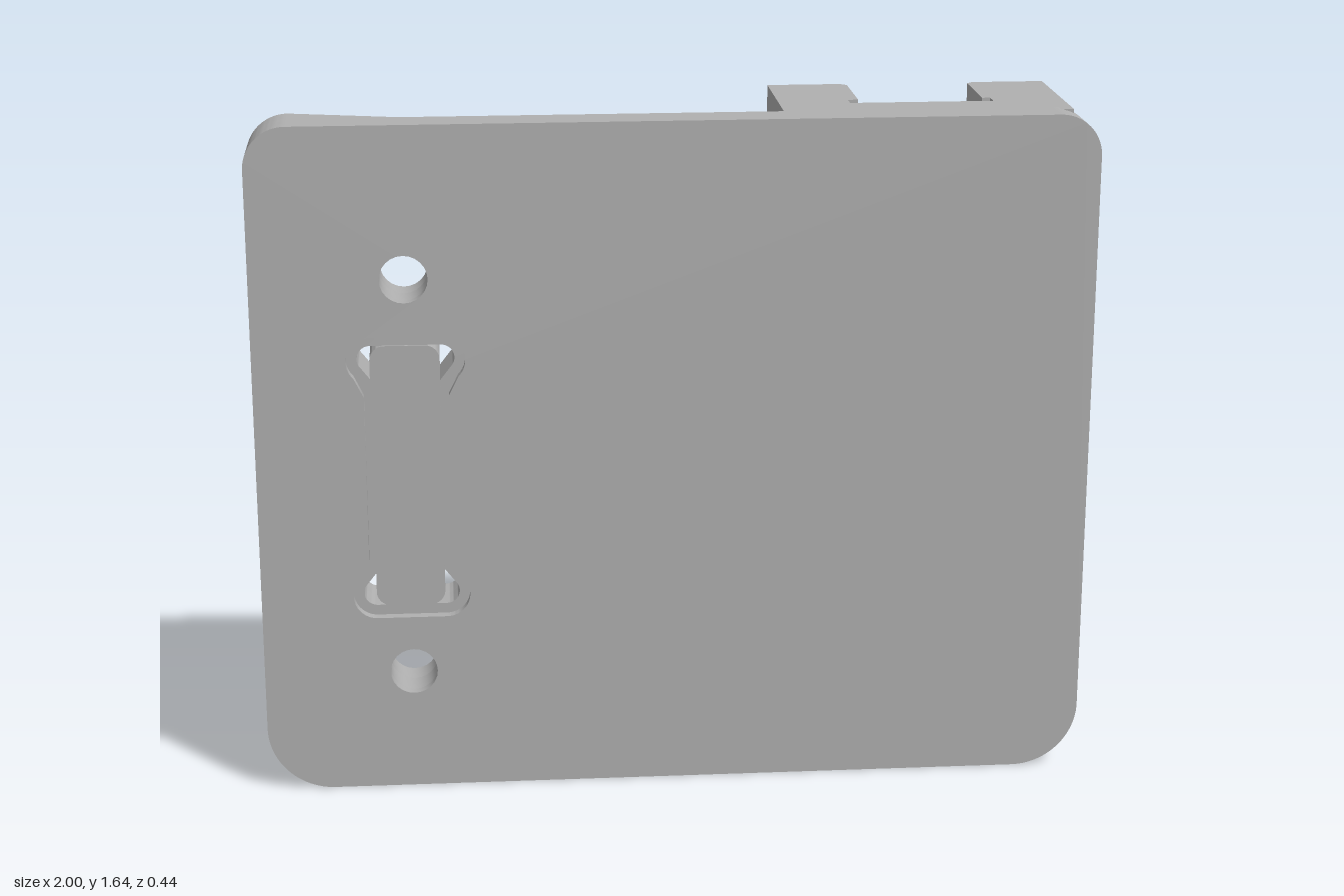
import * as THREE from 'three';
import { toCreasedNormals } from 'three/addons/utils/BufferGeometryUtils.js';

const grey = new THREE.MeshStandardMaterial({ color: 0xb0b0b0 });
grey.name = 'grey plastic';

// Rounded outline with separate radii for the bottom and top corners
function rounded(path, x0, y0, x1, y1, rb, rt = rb, rbr = rb) {
  path.moveTo(x0 + rb, y0);
  path.lineTo(x1 - rbr, y0);
  path.absarc(x1 - rbr, y0 + rbr, rbr, -Math.PI / 2, 0);
  path.absarc(x1 - rt, y1 - rt, rt, 0, Math.PI / 2);
  path.absarc(x0 + rt, y1 - rt, rt, Math.PI / 2, Math.PI);
  path.absarc(x0 + rb, y0 + rb, rb, Math.PI, Math.PI * 1.5);
  return path;
}

const polygon = (pts) => new THREE.Shape(pts.map(([x, y]) => new THREE.Vector2(x, y)));

function extrude(shape, depth) {
  return new THREE.ExtrudeGeometry(shape, { depth, bevelEnabled: false, curveSegments: 12 });
}

function circleHole(x, y, r) {
  const p = new THREE.Path();
  p.absarc(x, y, r, 0, Math.PI * 2);
  return p;
}

// Slot with a wider rounded lobe at each end
const SX = -0.64, SY = 0.79;
function dogbone(grow) {
  const p = new THREE.Path();
  const w = 0.075 + grow, lobe = 0.115 + grow, h = 0.325 + grow, r = 0.032 + grow;
  const cx = lobe - r, cy = h - r;
  p.moveTo(SX + w, SY - cy + r + 0.03);
  p.lineTo(SX + w, SY + cy - r - 0.03);
  p.absarc(SX + cx, SY + cy, r, -Math.PI / 4, Math.PI / 2);
  p.absarc(SX - cx, SY + cy, r, Math.PI / 2, Math.PI * 1.25);
  p.lineTo(SX - w, SY + cy - r - 0.03);
  p.lineTo(SX - w, SY - cy + r + 0.03);
  p.absarc(SX - cx, SY - cy, r, Math.PI * 0.75, Math.PI * 1.5);
  p.absarc(SX + cx, SY - cy, r, -Math.PI / 2, Math.PI / 4);
  p.closePath();
  return p;
}
const slotHoles = (grow) => [dogbone(grow), circleHole(SX, 0.3, 0.057), circleHole(SX, 1.28, 0.057)];

export function createModel() {
  const group = new THREE.Group();
  const add = (name, geometry) => {
    const mesh = new THREE.Mesh(toCreasedNormals(geometry, 0.6), grey);
    mesh.name = name;
    group.add(mesh);
  };
  const layer = (name, shape, z0, z1) => add(name, extrude(shape, z1 - z0).translate(0, 0, z0));

  // Front plate: the slot opens wider at the face
  for (const [name, grow, z0, z1] of [['plateFace', 0.025, 0.195, 0.22], ['plateBody', 0, 0.125, 0.195]]) {
    const s = rounded(new THREE.Shape(), -1, 0, 1, 1.645, 0.16, 0.1);
    s.holes.push(...slotHoles(grow));
    layer(name, s, z0, z1);
  }

  // Raised rim around the hollow back, open towards the clamp
  const rim = new THREE.Shape();
  rim.moveTo(0.945, 1.645);
  rim.absarc(-0.9, 1.545, 0.1, Math.PI / 2, Math.PI);
  rim.absarc(-0.84, 0.16, 0.16, Math.PI, Math.PI * 1.5);
  rim.lineTo(0.1, 0);
  rim.lineTo(0.04, 0.08);
  rim.lineTo(-0.79, 0.08);
  rim.absarc(-0.79, 0.2, 0.12, Math.PI * 1.5, Math.PI, true);
  rim.absarc(-0.81, 1.455, 0.1, Math.PI, Math.PI / 2, true);
  rim.lineTo(0.945, 1.555);
  rim.closePath();
  layer('backRim', rim, 0.06, 0.125);

  // Strap boss standing on the bottom rim
  const boss = new THREE.Shape();
  boss.moveTo(SX - 0.145, 0.08);
  boss.lineTo(SX + 0.145, 0.08);
  boss.absarc(SX, 1.3, 0.145, 0, Math.PI);
  boss.closePath();
  boss.holes.push(...slotHoles(0));
  layer('strapBoss', boss, 0.06, 0.125);

  // Strap bar inside the slot and the web joining it to the side
  layer('strapBar', rounded(new THREE.Shape(), -0.725, 0.465, -0.56, 1.115, 0.035), 0.08, 0.2);
  layer('barWeb', rounded(new THREE.Shape(), -0.58, 0.56, -0.555, 1.02, 0.005), 0.1, 0.17);

  // Upright rail pair with an undercut channel (profile in x, z)
  const rails = polygon([
    [0.26, 0.15], [0.26, -0.22], [0.44, -0.22], [0.455, -0.205], [0.455, -0.01],
    [0.43, -0.01], [0.43, 0.03], [0.775, 0.03], [0.775, -0.01], [0.755, -0.01],
    [0.755, -0.205], [0.77, -0.22], [0.945, -0.22], [0.945, 0.15],
  ]);
  add('uprightRails', extrude(rails, 0.935).rotateX(Math.PI / 2).translate(0, 1.644, 0));

  // Sideways clamp with two jaws and gripping beads (profile in -z, y)
  const jaw = new THREE.Shape();
  jaw.moveTo(-0.15, 0.055);
  jaw.lineTo(0.135, 0.055);
  jaw.lineTo(0.137, 0.2);
  jaw.lineTo(0.125, 0.23);
  jaw.absarc(0.055, 0.23, 0.033, 0, Math.PI);
  jaw.lineTo(-0.01, 0.23);
  jaw.lineTo(-0.01, 0.525);
  jaw.absarc(0.055, 0.525, 0.033, Math.PI, Math.PI * 2);
  jaw.lineTo(0.135, 0.525);
  jaw.lineTo(0.135, 0.705);
  jaw.lineTo(-0.15, 0.705);
  jaw.closePath();
  const clamp = extrude(jaw, 0.95).rotateY(Math.PI / 2).translate(0.03, 0, 0);
  // The lower jaw flares outwards at its inner end
  const pos = clamp.attributes.position;
  for (let i = 0; i < pos.count; i++) {
    if (Math.abs(pos.getY(i) - 0.2) < 0.005 && pos.getX(i) < 0.1) pos.setZ(i, pos.getZ(i) - 0.02);
  }
  add('clamp', clamp);

  // Centre the depth and height exactly on the frame
  return group;
}
